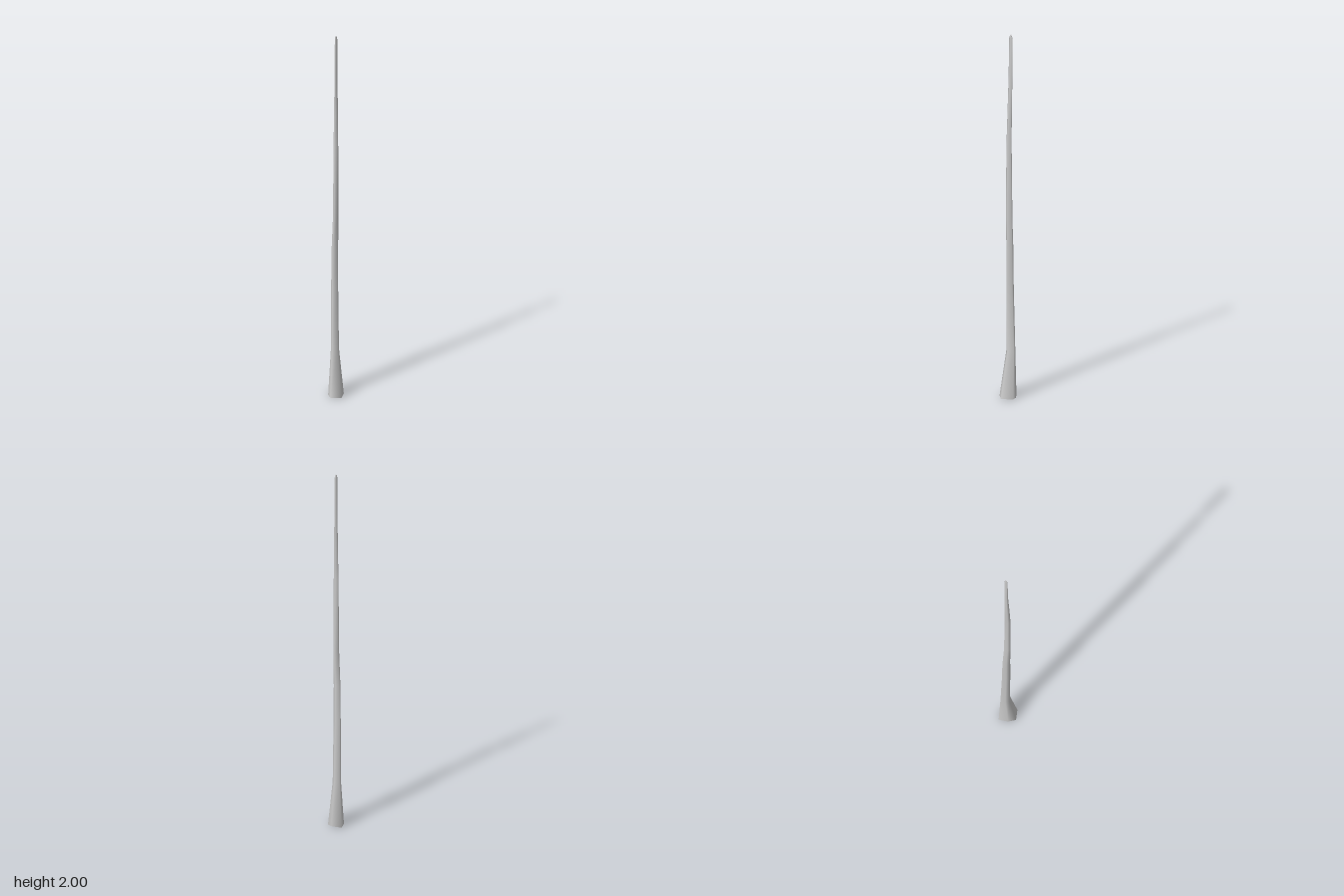
import * as THREE from 'three';

// Irregular six-sided cross-section (x, z) at the foot of the shaft
const SECTION = [[-0.052, -0.027], [0, -0.047], [0.026, -0.043], [0.05, 0.015], [0.003, 0.044], [-0.03, 0.018]];

// Rings up the shaft: height, centre x, centre z, scale x, scale z
const RINGS = [
  [0, 0, 0, 1, 1],
  [0.25, -0.012, -0.012, 0.5, 0.54],
  [0.6, -0.01, -0.008, 0.45, 0.44],
  [0.8, -0.009, -0.008, 0.42, 0.41],
  [1.0, -0.002, -0.007, 0.33, 0.4],
  [1.4, -0.001, -0.007, 0.29, 0.31],
  [1.56, -0.002, -0.01, 0.24, 0.27],
  [1.78, -0.005, -0.014, 0.15, 0.23],
  [1.98, -0.005, -0.015, 0.11, 0.22],
  [2.0, -0.005, -0.015, 0.05, 0.08],
];

function ringPoints([y, cx, cz, sx, sz]) {
  return SECTION.map(([x, z]) => [cx + x * sx, y, cz + z * sz]);
}

function makeGeometry(points, index) {
  const geometry = new THREE.BufferGeometry();
  geometry.setAttribute('position', new THREE.Float32BufferAttribute(points.flat(), 3));
  geometry.setIndex(index);
  geometry.computeVertexNormals();
  return geometry;
}

// Skin between successive rings
function shaftGeometry() {
  const n = SECTION.length;
  const index = [];
  for (let i = 0; i < RINGS.length - 1; i++) {
    for (let j = 0; j < n; j++) {
      const a = i * n + j, b = i * n + (j + 1) % n;
      index.push(a, a + n, b, b, a + n, b + n);
    }
  }
  return makeGeometry(RINGS.flatMap(ringPoints), index);
}

// Flat fan closing one ring
function capGeometry(ring, facingUp) {
  const index = [];
  for (let j = 1; j < SECTION.length - 1; j++) {
    index.push(0, ...(facingUp ? [j + 1, j] : [j, j + 1]));
  }
  return makeGeometry(ringPoints(ring), index);
}

export function createModel() {
  const group = new THREE.Group();
  group.name = 'trunk';
  const material = new THREE.MeshStandardMaterial({ color: 0xcccccc });
  const add = (name, geometry) => {
    const mesh = new THREE.Mesh(geometry, material);
    mesh.name = name;
    group.add(mesh);
  };
  add('shaft', shaftGeometry());
  add('baseCap', capGeometry(RINGS[0], false));
  add('tipCap', capGeometry(RINGS[RINGS.length - 1], true));
  return group;
}
